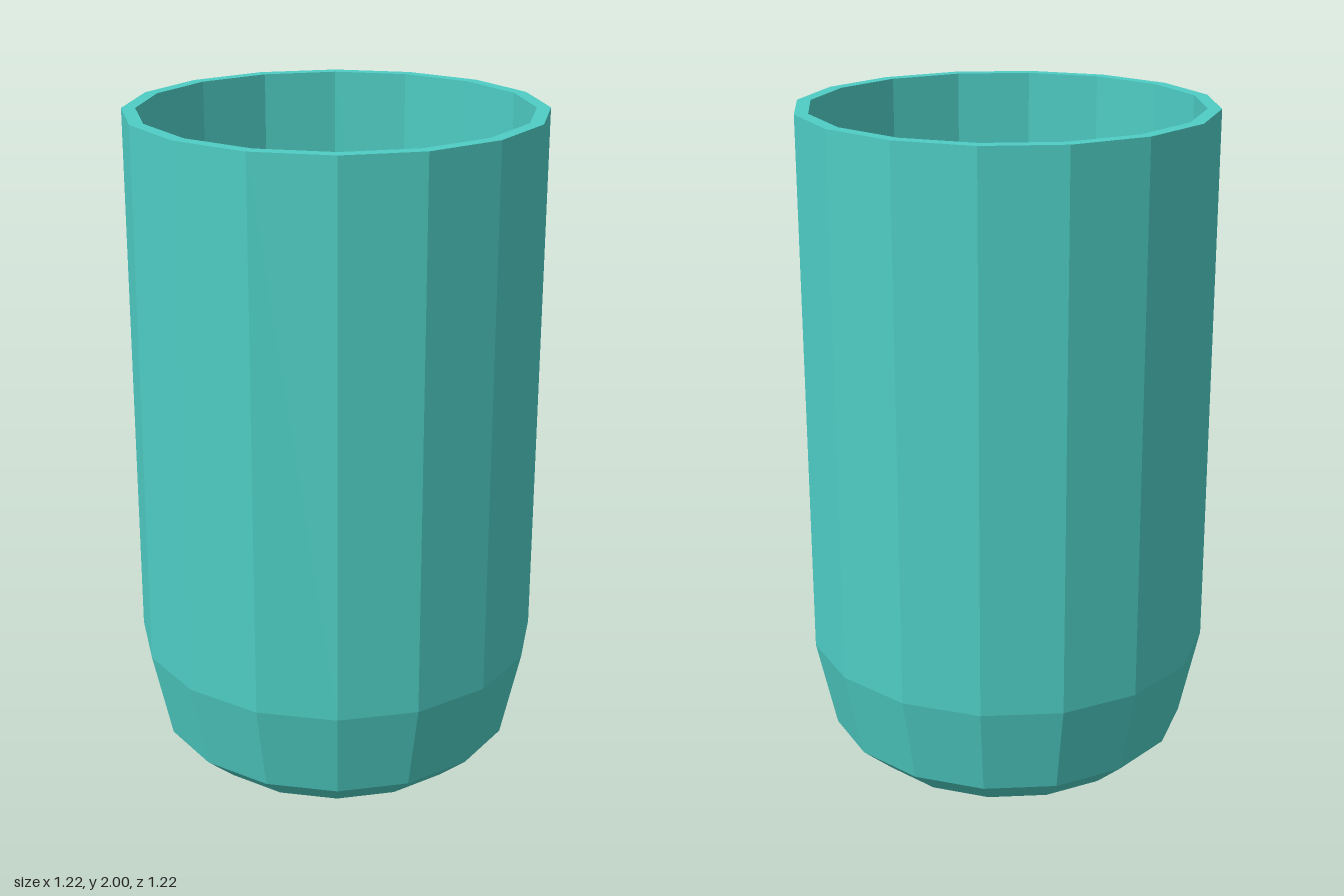
import * as THREE from 'three';

const SIDES = 16;

// Closed cross-section [radius, height]: underside, outer wall, rim, inner wall, floor
const PROFILE = [
  [0, 0], [0.45, 0], [0.55, 0.09], [0.61, 0.365], [0.61, 2],
  [0.57, 2], [0.57, 0.365], [0.51, 0.09], [0, 0.09],
];

export function createModel() {
  const group = new THREE.Group();
  group.name = 'tumbler';

  const material = new THREE.MeshStandardMaterial({ color: 0x4ecdc4, flatShading: true });

  // Faceted cup with a tapered foot and a hollow inside
  const points = PROFILE.map(([r, y]) => new THREE.Vector2(r, y));
  const cup = new THREE.Mesh(new THREE.LatheGeometry(points, SIDES), material);
  cup.name = 'cup';
  group.add(cup);

  return group;
}
